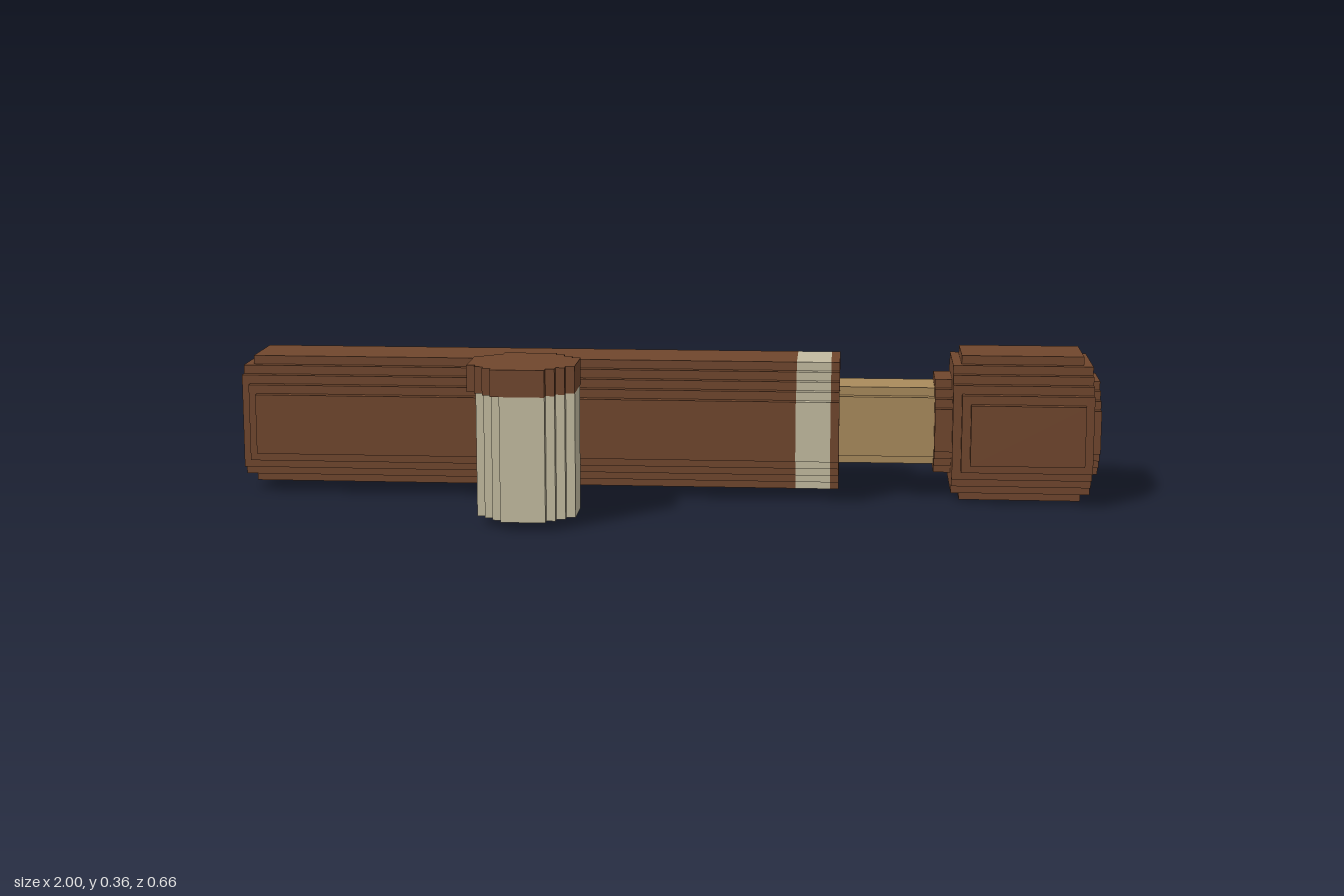
import * as THREE from 'three';

const brown = new THREE.MeshStandardMaterial({ color: 0x70462d });
brown.name = 'dark brown';
const cream = new THREE.MeshStandardMaterial({ color: 0xc3bba0 });
cream.name = 'cream';
const tan = new THREE.MeshStandardMaterial({ color: 0xa98a5c });
tan.name = 'tan';

// Quarter outline as [half width, half height] steps, widening downwards.
const steps = (w, h, count) =>
  Array.from({ length: count }, (_, i) => [w + i * 0.02, h - i * 0.02]);

// Stair-stepped octagon built by mirroring a quarter outline.
function steppedShape(quarter) {
  const q = [];
  quarter.forEach(([w, h], i) => {
    q.push([w, h]);
    if (i < quarter.length - 1) q.push([w, quarter[i + 1][1]]);
  });
  const r = [...q].reverse();
  const points = [
    ...r,
    ...q.map(([x, y]) => [-x, y]),
    ...r.map(([x, y]) => [-x, -y]),
    ...q.map(([x, y]) => [x, -y]),
  ];
  return new THREE.Shape(points.map(([x, y]) => new THREE.Vector2(x, y)));
}

function prism(quarter, length) {
  return new THREE.ExtrudeGeometry(steppedShape(quarter), { depth: length, bevelEnabled: false });
}

export function createModel() {
  const model = new THREE.Group();
  model.name = 'handle';

  // Prism lying along x on the main axis
  const along = (name, quarter, x0, x1, material, parent) => {
    const geo = prism(quarter, x1 - x0).rotateY(Math.PI / 2);
    geo.translate(x0, 0.17, -0.15);
    const mesh = new THREE.Mesh(geo, material);
    mesh.name = name;
    parent.add(mesh);
  };
  // Prism standing along y
  const upright = (name, quarter, x, z, y0, y1, material, parent) => {
    const geo = prism(quarter, y1 - y0).rotateX(-Math.PI / 2);
    geo.translate(x, y0, z);
    const mesh = new THREE.Mesh(geo, material);
    mesh.name = name;
    parent.add(mesh);
  };
  const group = (name) => {
    const g = new THREE.Group();
    g.name = name;
    model.add(g);
    return g;
  };

  // Long barrel with a stepped end and a pale band
  const barrel = group('barrel');
  const body = steps(0.08, 0.15, 5);
  along('barrelEnd', body.slice(1, -2), -1, -0.98, brown, barrel);
  along('barrelEndStep', body.slice(0, -1), -0.98, -0.96, brown, barrel);
  along('barrelBody', body, -0.96, 0.3, brown, barrel);
  along('barrelBand', body, 0.3, 0.38, cream, barrel);
  along('barrelRim', body, 0.38, 0.4, brown, barrel);

  // Slim neck
  along('neck', steps(0.06, 0.09, 2), 0.4, 0.62, tan, model);

  // Knob with stepped shoulders
  const knob = group('knob');
  const full = steps(0.08, 0.17, 6);
  const small = steps(0.06, 0.11, 4);
  along('knobCollar', small, 0.62, 0.66, brown, knob);
  along('knobShoulder', full.slice(1, -2), 0.66, 0.68, brown, knob);
  along('knobUpperShoulder', full.slice(0, -1), 0.68, 0.7, brown, knob);
  along('knobBody', full, 0.7, 0.96, brown, knob);
  along('knobEndStep', full.slice(1, -1), 0.96, 0.98, brown, knob);
  along('knobEnd', small, 0.98, 1, brown, knob);

  // Separate upright post with a cap
  const post = group('post');
  upright('postBody', steps(0.05, 0.11, 4), -0.29, 0.22, 0.02, 0.3, cream, post);
  upright('postCap', steps(0.06, 0.12, 4), -0.3, 0.21, 0.3, 0.36, brown, post);

  return model;
}
